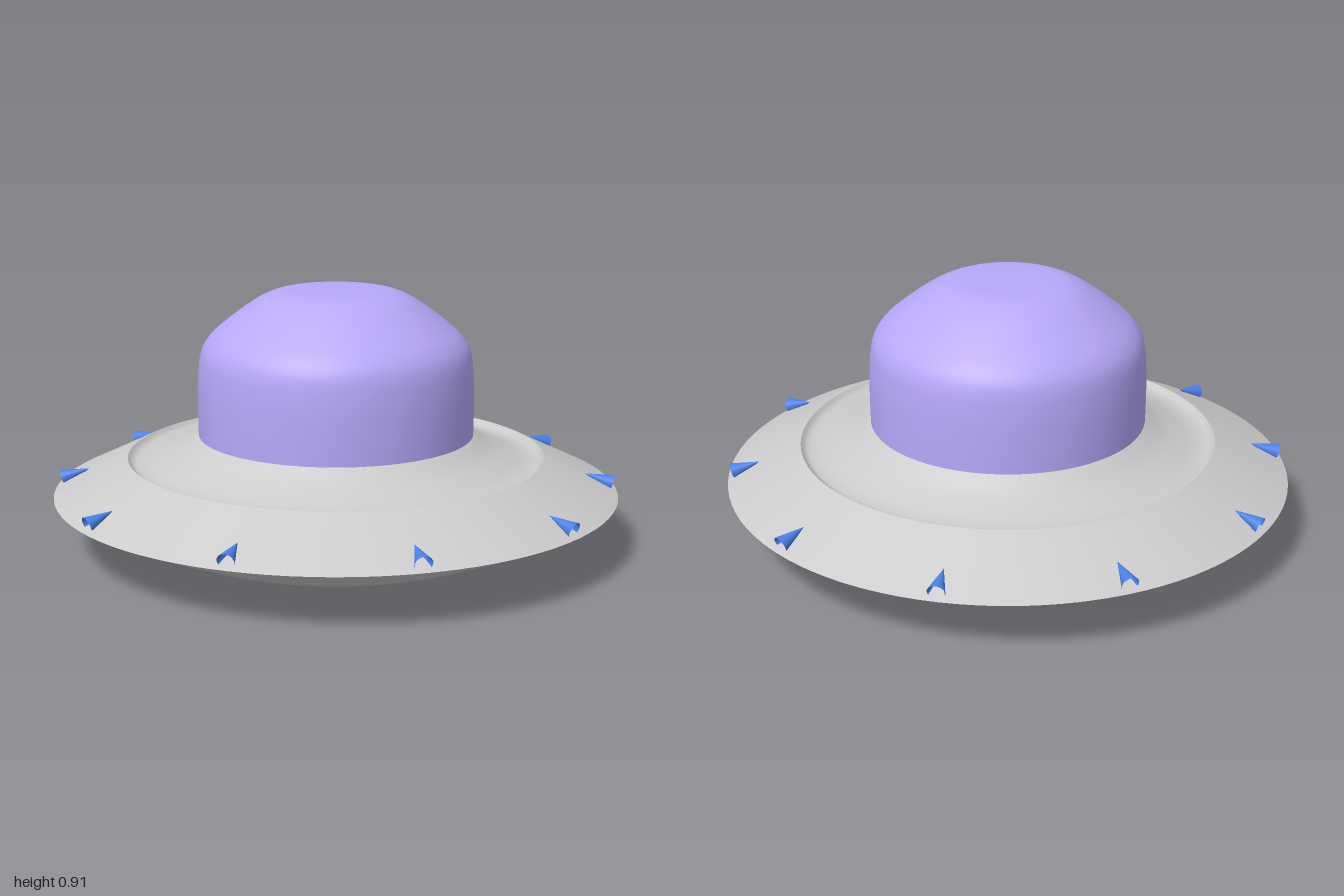
import * as THREE from 'three';

const SEGMENTS = 96;

// Surface of revolution through a smooth curve of [radius, height] points
function spun(name, points, material, steps) {
  const curve = new THREE.SplineCurve(points.map(([r, y]) => new THREE.Vector2(r, y)));
  const profile = curve.getPoints(steps);
  profile.forEach((p) => { p.x = Math.max(p.x, 0); });
  const mesh = new THREE.Mesh(new THREE.LatheGeometry(profile, SEGMENTS), material);
  mesh.name = name;
  return mesh;
}

export function createModel() {
  const group = new THREE.Group();
  group.name = 'flyingSaucer';

  const hull = new THREE.MeshStandardMaterial({ color: 0xcccccc, side: THREE.DoubleSide });
  const glass = new THREE.MeshStandardMaterial({ color: 0xb8a8fa });
  const blue = new THREE.MeshStandardMaterial({ color: 0x4a80e8, side: THREE.DoubleSide });

  // Shallow bowl under the rim
  group.add(spun('underside', [
    [0, 0], [0.25, 0], [0.45, 0.003], [0.54, 0.013], [0.64, 0.042], [0.8, 0.11], [1, 0.197],
  ], hull, 36));

  // Sloping brim from the outer rim up to the ring edge
  group.add(spun('brim', [[1, 0.197], [0.87, 0.26], [0.738, 0.325]], hull, 6));

  // Slightly sunken deck that sweeps up to the dome
  group.add(spun('deck', [
    [0.738, 0.325], [0.715, 0.308], [0.67, 0.31], [0.62, 0.326], [0.55, 0.357], [0.487, 0.4],
  ], hull, 24));

  // Tall dome with rounded shoulders and a flat crown
  group.add(spun('dome', [
    [0.487, 0.4], [0.488, 0.5], [0.486, 0.6], [0.475, 0.69], [0.445, 0.745], [0.39, 0.795],
    [0.31, 0.855], [0.25, 0.89], [0.19, 0.908], [0.1, 0.911], [0, 0.911],
  ], glass, 50));

  // Ten hollow cone lamps, half sunk in the brim and pointing inward
  const coneGeometry = new THREE.ConeGeometry(0.03, 0.101, 24, 1, true);
  for (let i = 0; i < 10; i++) {
    const lamp = new THREE.Group();
    lamp.name = `rimLamp${i + 1}`;
    const cone = new THREE.Mesh(coneGeometry, blue);
    cone.name = 'lampCone';
    cone.position.set(0.935, 0.237, 0);
    cone.rotation.z = 1.22;
    lamp.add(cone);
    lamp.rotation.y = (i * Math.PI) / 5;
    group.add(lamp);
  }

  return group;
}
